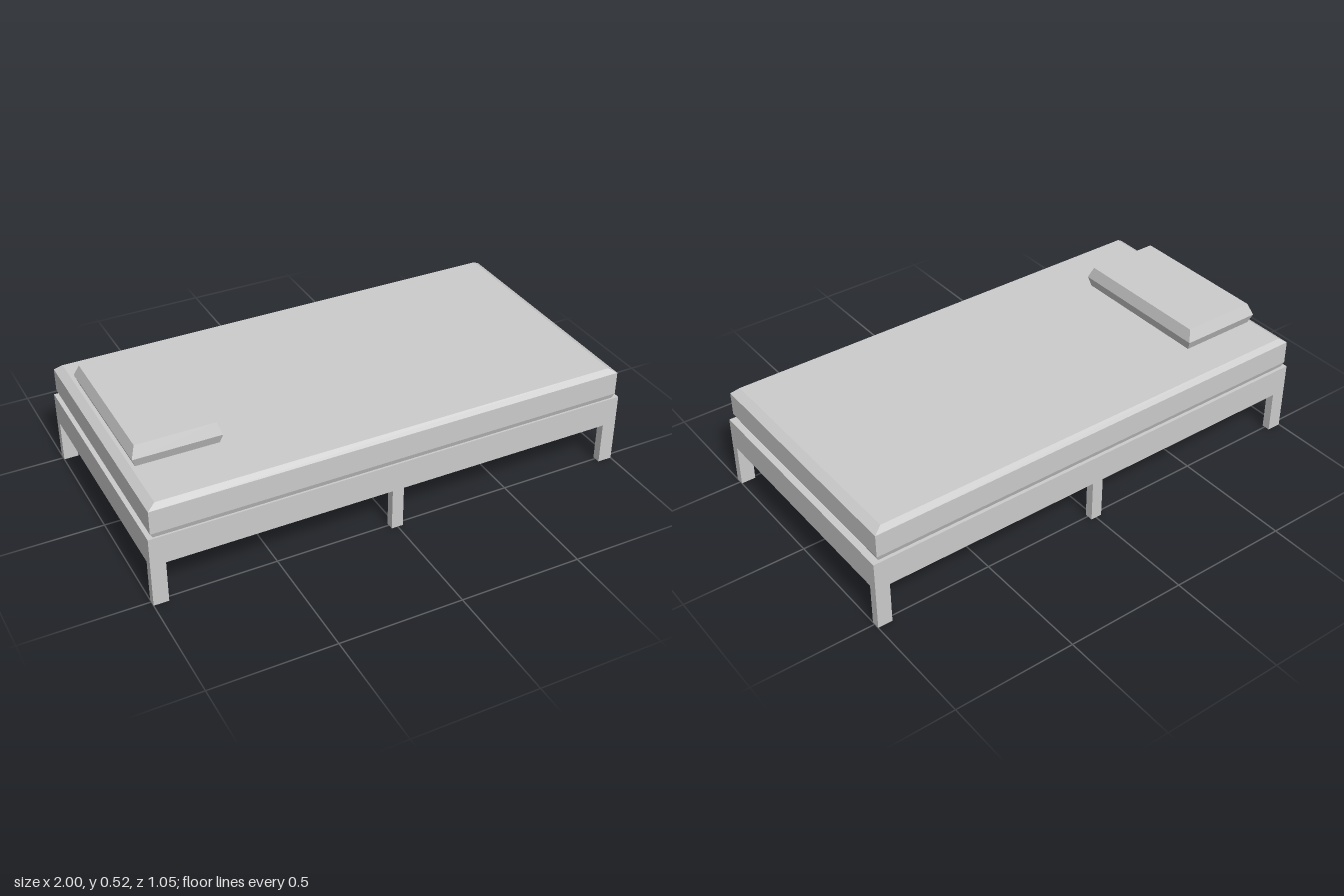
import * as THREE from 'three';

const material = new THREE.MeshStandardMaterial({ color: 0xcccccc, flatShading: true });

// Box between two corners, given as ranges along each axis.
function block(name, [x0, x1], [y0, y1], [z0, z1]) {
  const mesh = new THREE.Mesh(new THREE.BoxGeometry(x1 - x0, y1 - y0, z1 - z0), material);
  mesh.position.set((x0 + x1) / 2, (y0 + y1) / 2, (z0 + z1) / 2);
  mesh.name = name;
  return mesh;
}

// Cushion whose rectangular outline changes with height; levels run bottom to top as [y, x0, x1, z0, z1].
function cushion(name, levels) {
  const steps = levels.length - 1;
  const geometry = new THREE.BoxGeometry(1, 1, 1, 1, steps, 1);
  const p = geometry.attributes.position;
  for (let i = 0; i < p.count; i++) {
    const [y, x0, x1, z0, z1] = levels[Math.round((p.getY(i) + 0.5) * steps)];
    p.setXYZ(i, p.getX(i) < 0 ? x0 : x1, y, p.getZ(i) < 0 ? z0 : z1);
  }
  geometry.computeVertexNormals();
  const mesh = new THREE.Mesh(geometry, material);
  mesh.name = name;
  return mesh;
}

export function createModel() {
  const bed = new THREE.Group();
  bed.name = 'bed';
  const halfDepth = 0.523, legDepth = 0.035, frameBottom = 0.178, frameTop = 0.298;

  // Solid base
  bed.add(block('bedFrame', [-1, 1], [frameBottom, frameTop], [-halfDepth, halfDepth]));

  // Three legs along each long side
  const legs = { rightLeg: [-1, -0.94], middleLeg: [-0.026, 0.022], leftLeg: [0.94, 1] };
  for (const [name, xRange] of Object.entries(legs)) {
    bed.add(block(name + 'Front', xRange, [0, frameBottom], [halfDepth - legDepth, halfDepth]));
    bed.add(block(name + 'Back', xRange, [0, frameBottom], [-halfDepth, legDepth - halfDepth]));
  }

  // Mattress with bevelled top and bottom edges
  bed.add(cushion('mattress', [
    [frameTop, -0.979, 0.971, -0.509, 0.515],
    [0.319, -0.99, 0.981, -0.516, 0.522],
    [0.416, -0.99, 0.981, -0.516, 0.522],
    [0.437, -0.958, 0.947, -0.498, 0.504],
  ]));

  // Pillow, widest at its seam
  bed.add(cushion('pillow', [
    [0.437, -0.943, -0.615, -0.333, 0.275],
    [0.476, -0.957, -0.606, -0.348, 0.289],
    [0.524, -0.939, -0.622, -0.328, 0.27],
  ]));

  return bed;
}
